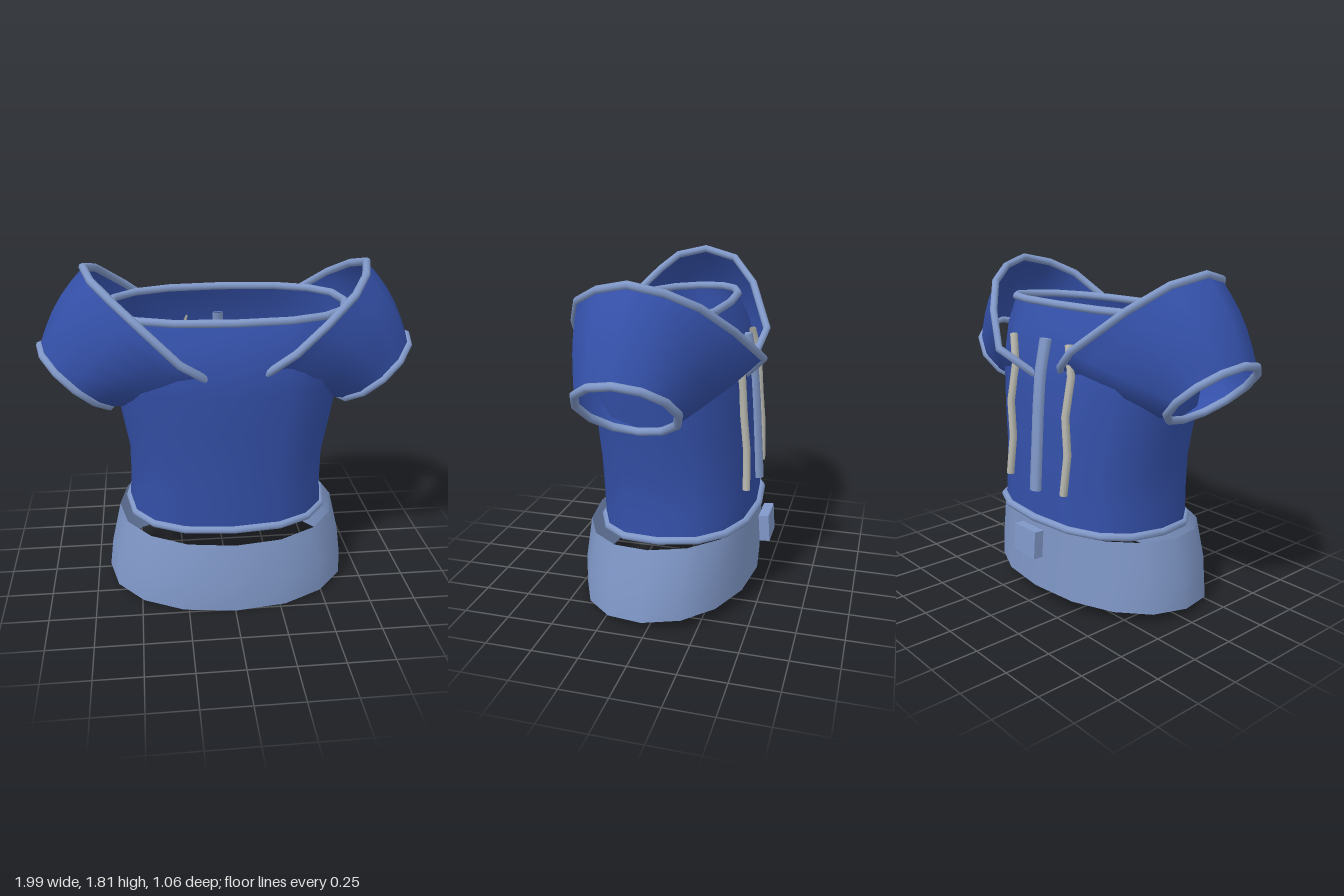
import * as THREE from 'three';

const mat = (color) => new THREE.MeshStandardMaterial({ color, side: THREE.DoubleSide });
const V = (x, y, z) => new THREE.Vector3(x, y, z);

// Polyline whose corners fall exactly on the tube's segments
class Polyline extends THREE.Curve {
  constructor(points) { super(); this.points = points; }
  getPoint(t, target = new THREE.Vector3()) {
    const n = this.points.length - 1;
    const i = Math.min(Math.floor(t * n), n - 1);
    return target.lerpVectors(this.points[i], this.points[i + 1], t * n - i);
  }
  getUtoTmapping(u) { return u; }
}

// Open skin through a stack of closed rings
function loft(rings) {
  const n = rings[0].length, pos = [], index = [];
  rings.forEach((ring) => ring.forEach((p) => pos.push(p.x, p.y, p.z)));
  for (let i = 0; i < rings.length - 1; i++) {
    for (let j = 0; j < n; j++) {
      const a = i * n + j, b = i * n + (j + 1) % n;
      index.push(a, a + n, b, b, a + n, b + n);
    }
  }
  const g = new THREE.BufferGeometry();
  g.setAttribute('position', new THREE.Float32BufferAttribute(pos, 3));
  g.setIndex(index);
  g.computeVertexNormals();
  return g;
}

// Rounded body ring: half width, front z, back z, front-to-back height change
function bodyRing(y, rx, front, back, tilt, power = 2.5, n = 16) {
  const cz = (front + back) / 2, rz = (front - back) / 2, ring = [];
  const round = (v) => Math.sign(v) * Math.abs(v) ** (2 / power);
  for (let j = 0; j < n; j++) {
    const a = (j / n) * Math.PI * 2, s = round(Math.sin(a));
    ring.push(V(rx * round(Math.cos(a)), y - tilt * s, cz + rz * s));
  }
  return ring;
}

// Shoulder openings as (position along the slant, z), from the lowest point
const leftOpening = [[-1, 0.03], [-0.87, -0.32], [-0.29, -0.49], [0.23, -0.38],
  [0.65, -0.25], [0.88, -0.11], [1, 0.05], [0.89, 0.21], [0.68, 0.34],
  [0.3, 0.42], [-0.1, 0.46], [-0.6, 0.39]];
const rightOpening = [[-1, 0.03], [-0.75, -0.28], [-0.45, -0.39], [-0.15, -0.42],
  [0.5, -0.29], [0.87, -0.15], [1, 0.04], [0.89, 0.2], [0.65, 0.29],
  [0.4, 0.36], [-0.17, 0.51], [-0.82, 0.32]];

export function createModel() {
  const model = new THREE.Group();
  const blue = mat(0x3450a8), trim = mat(0x8098c8), pale = mat(0xb8b8b0);
  const add = (parent, name, geometry, material) => {
    const mesh = new THREE.Mesh(geometry, material);
    mesh.name = name;
    parent.add(mesh);
    return mesh;
  };
  const piping = (parent, name, ring, r = 0.021) => add(parent, name,
    new THREE.TubeGeometry(new Polyline([...ring, ring[0]]), ring.length, r, 8, true), trim);

  // Torso, open at neck and waist
  const torso = [
    [0.455, 0.548, 0.385, -0.44, 0.025],
    [0.6, 0.537, 0.393, -0.436, 0.015],
    [0.78, 0.537, 0.403, -0.428, 0],
    [1.0, 0.575, 0.42, -0.415, 0],
    [1.2, 0.603, 0.44, -0.4, 0],
    [1.32, 0.62, 0.44, -0.38, 0],
    [1.46, 0.63, 0.415, -0.34, 0.01],
    [1.585, 0.625, 0.36, -0.27, 0.02],
  ].map((row) => bodyRing(...row));
  add(model, 'torso', loft(torso), blue);
  piping(model, 'neckPiping', torso[torso.length - 1]);
  piping(model, 'waistPiping', bodyRing(0.455, 0.55, 0.388, -0.45, 0.025));

  // Sleeves: wide shoulder opening narrowing to a round cuff
  [['leftSleeve', 1, leftOpening], ['rightSleeve', -1, rightOpening]].forEach(([name, side, opening]) => {
    const sleeve = new THREE.Group();
    sleeve.name = name;
    const shoulder = opening.map(([u, z]) => V(side * (0.34 + 0.39 * u), 1.465 + 0.325 * u, z));
    const cuff = opening.map((_, k) => {
      const a = (k / opening.length) * Math.PI * 2, u = -Math.cos(a);
      return V(side * (0.79 + 0.185 * u), 1.225 + 0.165 * u, 0.045 - 0.25 * Math.sin(a));
    });
    const rings = [0, 0.2, 0.4, 0.6, 0.8, 1].map((t) => cuff.map((c, k) => {
      const swell = 0.03 * Math.sin(Math.PI * t), u = opening[k][0];
      const p = c.clone().lerp(shoulder[k], t);
      return p.add(V(side * 0.77 * swell * u, 0.64 * swell * u, swell * p.z));
    }));
    add(sleeve, 'sleeveSkin', loft(side > 0 ? rings : rings.reverse()), blue);
    piping(sleeve, 'shoulderPiping', shoulder);
    piping(sleeve, 'cuffPiping', cuff);
    model.add(sleeve);
  });

  // Belt, a tilted flaring band, with its buckle at the back
  add(model, 'belt', loft([
    bodyRing(0.04, 0.68, 0.515, -0.455, 0.04, 2.15),
    bodyRing(0.2, 0.66, 0.515, -0.457, 0.038, 2.15),
    bodyRing(0.425, 0.608, 0.485, -0.46, 0.035, 2.15),
  ]), trim);
  const buckle = add(model, 'buckle', new THREE.BoxGeometry(0.18, 0.15, 0.055), trim);
  buckle.position.set(-0.01, 0.366, -0.5);
  buckle.rotation.x = 0.07;

  // Flattened strap down the spine, following the back up to the shoulders
  const strap = new THREE.Group();
  strap.name = 'backStrap';
  strap.position.x = -0.01;
  strap.scale.x = 1.3;
  const spine = [V(0, 1.44, -0.36), V(0, 1.27, -0.397), V(0, 1.08, -0.415),
    V(0, 0.88, -0.428), V(0, 0.64, -0.445)];
  add(strap, 'strapBand', new THREE.TubeGeometry(new Polyline(spine), 4, 0.029, 8, false), trim);
  [[spine[0], -1], [spine[4], 1]].forEach(([p, s]) => {
    const cap = add(strap, 'strapEnd', new THREE.CircleGeometry(0.029, 8), trim);
    cap.position.copy(p);
    cap.rotation.x = s * Math.PI / 2;
  });
  model.add(strap);

  // Wavy cords either side of the strap
  const wave = [[-0.03, 1.43, -0.355], [0.02, 1.28, -0.383], [-0.005, 1.07, -0.403],
    [0.025, 0.88, -0.416], [0, 0.66, -0.425]];
  [['leftCord', 0.25], ['rightCord', -0.22]].forEach(([name, x]) => {
    const points = wave.map(([w, y, z]) => V(x - w, y, z));
    add(model, name, new THREE.TubeGeometry(new Polyline(points), 4, 0.021, 8, false), pale);
  });
  return model;
}
